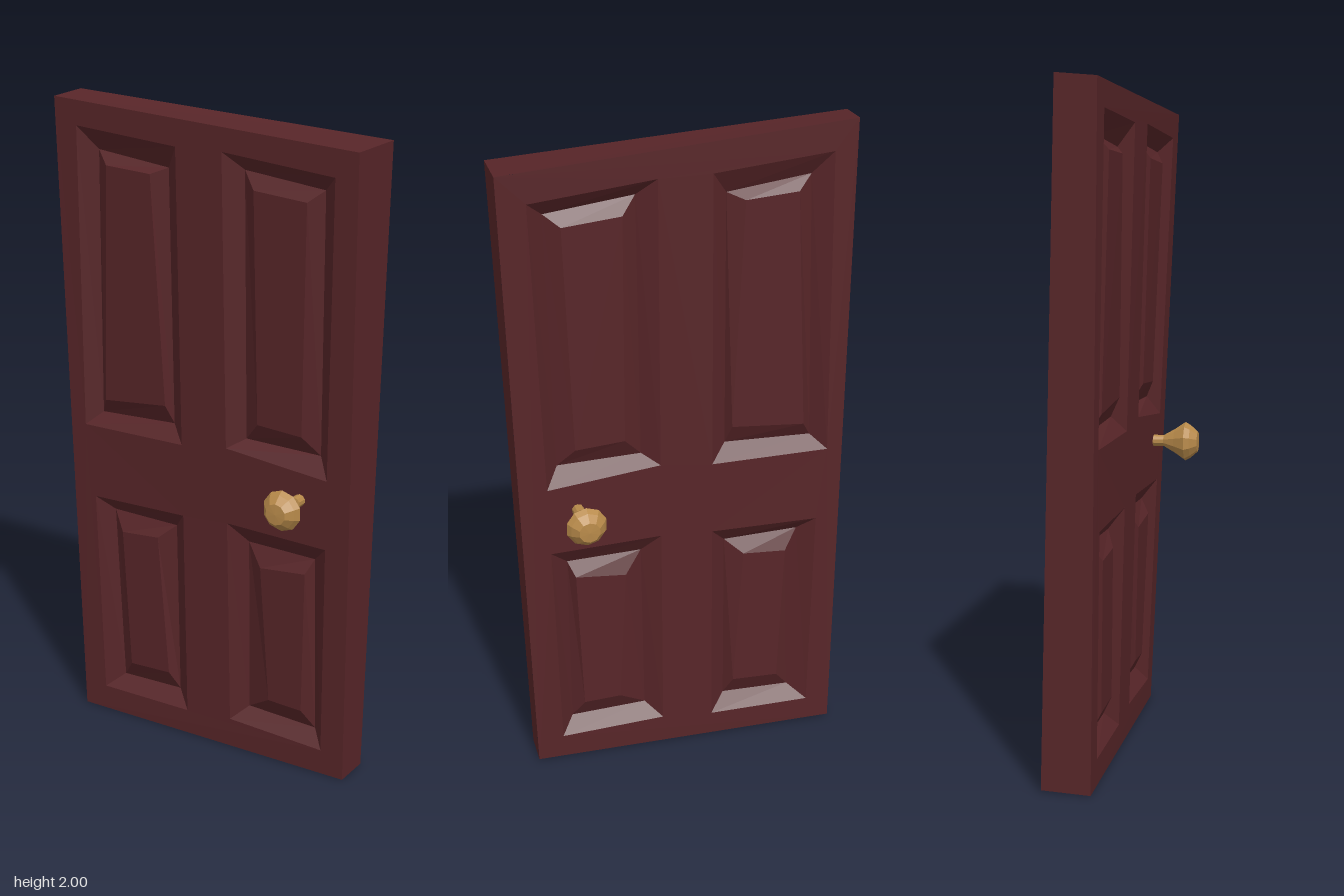
import * as THREE from 'three';

// Corner order everywhere: top left, top right, bottom right, bottom left (seen from the front)
const FRONT = [[-0.53, 1.99, 0.065], [0.515, 1.92, 0.12], [0.47, 0, 0.04], [-0.49, 0, 0.035]];
const BACK = [[-0.52, 2.0, -0.055], [0.525, 1.93, -0.06], [0.475, 0.005, -0.07], [-0.485, 0.005, -0.11]];

// Each panel: rim, groove bottom and raised field
const PANELS = {
  upperRightPanel: [
    [[-0.45, 1.91], [-0.09, 1.88], [-0.09, 0.98], [-0.455, 0.98]],
    [[-0.395, 1.84], [-0.14, 1.81], [-0.14, 1.03], [-0.41, 1.02]],
    [[-0.35, 1.8], [-0.19, 1.79], [-0.155, 1.09], [-0.38, 1.07]]],
  upperLeftPanel: [
    [[0.07, 1.88], [0.44, 1.845], [0.415, 0.965], [0.07, 1.0]],
    [[0.125, 1.83], [0.39, 1.8], [0.375, 1.025], [0.12, 1.03]],
    [[0.17, 1.78], [0.345, 1.765], [0.325, 1.08], [0.175, 1.09]]],
  lowerRightPanel: [
    [[-0.425, 0.745], [-0.09, 0.75], [-0.09, 0.08], [-0.41, 0.08]],
    [[-0.375, 0.7], [-0.14, 0.695], [-0.14, 0.13], [-0.355, 0.125]],
    [[-0.33, 0.64], [-0.195, 0.65], [-0.165, 0.19], [-0.31, 0.185]]],
  lowerLeftPanel: [
    [[0.07, 0.76], [0.41, 0.75], [0.395, 0.08], [0.07, 0.095]],
    [[0.125, 0.7], [0.355, 0.695], [0.355, 0.13], [0.12, 0.14]],
    [[0.18, 0.635], [0.335, 0.65], [0.32, 0.19], [0.205, 0.195]]],
};

// Depth of a warped face at x, y, blended from its four corners
function faceZ(c, x, y) {
  const v = y / 1.96;
  const u = (x + 0.48 + 0.04 * v) / (0.96 + 0.08 * v);
  const mix = THREE.MathUtils.lerp;
  return mix(mix(c[3][2], c[2][2], u), mix(c[0][2], c[1][2], u), v);
}

// Flat-faced geometry from quads given counter-clockwise
function quads(list) {
  const pos = [];
  for (const [a, b, c, d] of list) pos.push(...a, ...b, ...c, ...a, ...c, ...d);
  const g = new THREE.BufferGeometry();
  g.setAttribute('position', new THREE.Float32BufferAttribute(pos, 3));
  g.computeVertexNormals();
  return g;
}

export function createModel() {
  const door = new THREE.Group();
  door.name = 'door';
  const wood = new THREE.MeshStandardMaterial({ color: 0x572528 });
  wood.name = 'dark red wood';
  const brass = new THREE.MeshStandardMaterial({ color: 0xb88a4a });
  brass.name = 'brass';

  const add = (geometry, material, name) => {
    const mesh = new THREE.Mesh(geometry, material);
    mesh.name = name;
    door.add(mesh);
    return mesh;
  };

  for (const [side, corners, sign] of [['front', FRONT, 1], ['back', BACK, -1]]) {
    // Frame face with four openings, bent onto the warped plane
    const path = pts => pts.map(p => new THREE.Vector2(p[0], p[1]));
    const shape = new THREE.Shape(path(corners));
    for (const p of Object.values(PANELS)) shape.holes.push(new THREE.Path(path(p[0])));
    const flat = new THREE.ShapeGeometry(shape);
    if (sign < 0) flat.index.array.reverse();
    const frame = flat.toNonIndexed();
    const pos = frame.attributes.position;
    for (let i = 0; i < pos.count; i++) pos.setZ(i, faceZ(corners, pos.getX(i), pos.getY(i)));
    frame.computeVertexNormals();
    add(frame, wood, side + 'Frame');

    // Panels: slope into the groove, bevel back out, raised field
    for (const [name, loops] of Object.entries(PANELS)) {
      const depth = [0, 0.038, 0.01];
      const rings = loops.map((loop, k) =>
        loop.map(([x, y]) => [x, y, faceZ(corners, x, y) - sign * depth[k]]));
      const faces = [[...rings[2]]];
      for (let k = 0; k < 2; k++) {
        for (let i = 0; i < 4; i++) {
          const j = (i + 1) % 4;
          faces.push([rings[k][i], rings[k][j], rings[k + 1][j], rings[k + 1][i]]);
        }
      }
      if (sign > 0) faces.forEach(f => f.reverse());
      add(quads(faces), wood, side + name[0].toUpperCase() + name.slice(1));
    }
  }

  // Outer edges joining the two faces
  const edges = FRONT.map((f, i) => {
    const j = (i + 1) % 4;
    return [f, FRONT[j], BACK[j], BACK[i]];
  });
  add(quads(edges), wood, 'doorEdges');

  // Faceted knobs: thin stem flaring to a blunt head
  const profile = [[0.018, 0.04], [0.018, 0.105], [0.038, 0.14], [0.062, 0.175], [0.052, 0.192], [0.032, 0.214], [0, 0.216]]
    .map(p => new THREE.Vector2(...p));
  for (const [name, sign] of [['frontKnob', 1], ['backKnob', -1]]) {
    const g = new THREE.LatheGeometry(profile, 10).toNonIndexed();
    g.computeVertexNormals();
    g.rotateX(sign * Math.PI / 2);
    add(g, brass, name).position.set(0.325, 0.89, 0);
  }
  return door;
}
